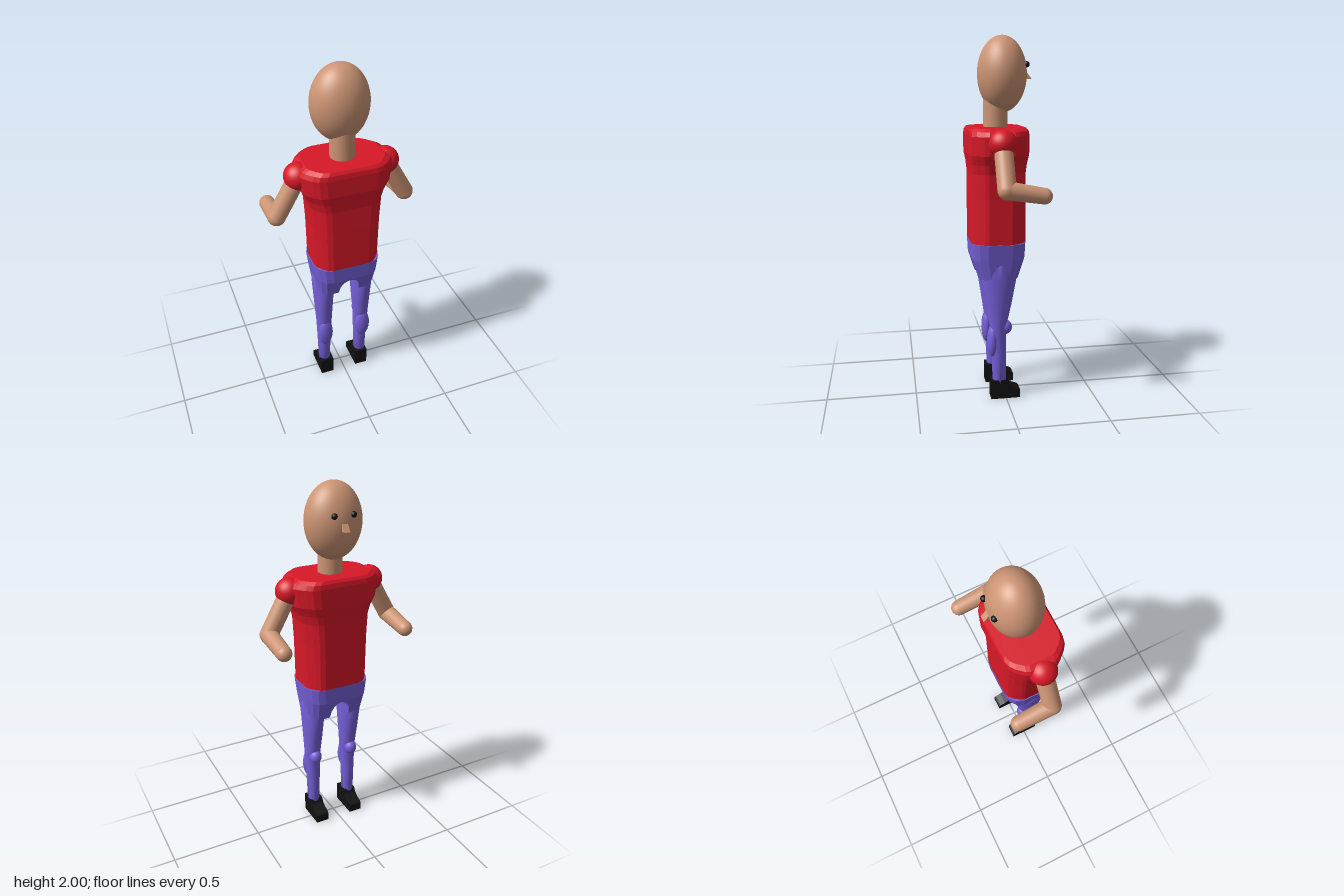
import * as THREE from 'three';

const mat = (color, flat = false) => {
  const m = new THREE.MeshStandardMaterial({ color });
  m.flatShading = flat;
  return m;
};
const skin = mat(0xcd9575), red = mat(0xd81828), redFlat = mat(0xd81828, true);
const purple = mat(0x7560d8), purpleFlat = mat(0x7560d8, true), black = mat(0x111111), blackFlat = mat(0x111111, true);
const V = (x, y, z) => new THREE.Vector3(x, y, z);

// Closed skin over a list of equal-length rings, with fan caps
function loft(rings) {
  const n = rings[0].length, pos = [], idx = [];
  rings.forEach(r => r.forEach(p => pos.push(...p)));
  for (let i = 0; i < rings.length - 1; i++)
    for (let j = 0; j < n; j++) {
      const a = i * n + j, b = i * n + (j + 1) % n, c = b + n, d = a + n;
      idx.push(a, b, c, a, c, d);
    }
  const top = (rings.length - 1) * n;
  for (let j = 1; j < n - 1; j++) idx.push(0, j + 1, j, top, top + j, top + j + 1);
  const g = new THREE.BufferGeometry();
  g.setAttribute('position', new THREE.Float32BufferAttribute(pos, 3));
  g.setIndex(idx);
  g.computeVertexNormals();
  return g;
}

function add(parent, name, geo, material, p = V(0, 0, 0)) {
  const m = new THREE.Mesh(geo, material);
  m.name = name;
  m.position.copy(p);
  parent.add(m);
  return m;
}

function ellipsoid(parent, name, material, p, rx, ry, rz, seg = 32) {
  return add(parent, name, new THREE.SphereGeometry(1, seg, seg * 0.75).scale(rx, ry, rz), material, p);
}

// Tapered round limb from a to b
function limb(parent, name, material, a, b, ra, rb) {
  const dir = b.clone().sub(a);
  const m = add(parent, name, new THREE.CylinderGeometry(rb, ra, dir.length(), 28), material, a.clone().add(b).multiplyScalar(0.5));
  m.quaternion.setFromUnitVectors(V(0, 1, 0), dir.normalize());
}

// Side profile in (z, y), extruded across x
function sideExtrude(points, width) {
  const s = new THREE.Shape(points.map(([z, y]) => new THREE.Vector2(-z, y)));
  const g = new THREE.ExtrudeGeometry(s, { depth: width, bevelEnabled: false });
  return g.translate(0, 0, -width / 2).rotateY(Math.PI / 2);
}

// Shirt body: rounded oblong cross-section, stacked upward
function torsoGeometry() {
  const q = [[1, 0.42], [0.96, 0.56], [0.82, 0.8], [0.7, 0.94], [0.55, 1]];
  const r = [...q].reverse();
  const outline = [...q.map(([x, z]) => [x, -z]), ...r.map(([x, z]) => [-x, -z]),
    ...q.map(([x, z]) => [-x, z]), ...r.map(([x, z]) => [x, z])];
  const rows = [[0.9, 0.185, 0.149], [1.15, 0.19, 0.148], [1.28, 0.198, 0.147], [1.33, 0.212, 0.152],
    [1.38, 0.238, 0.161], [1.48, 0.25, 0.161], [1.505, 0.238, 0.157], [1.52, 0.21, 0.146]];
  return loft(rows.map(([y, hx, hz]) => outline.map(([x, z]) => [x * hx, y, 0.036 + z * hz])));
}

// Shorts: slices across x, with an arch between the legs
function shortsGeometry() {
  const xs = [0.19, 0.172, 0.145, 0.105, 0.068, 0.062, 0.055, 0.045, 0.03, 0.015];
  const stations = [...xs.map(x => -x), 0, ...[...xs].reverse()];
  return loft(stations.map(x => {
    const ax = Math.abs(x);
    const low = ax < 0.068 ? 0.7 + 0.1 * Math.sqrt(1 - (ax / 0.068) ** 2) : 0.7;
    const plan = ax > 0.18 ? 0.45 : ax > 0.16 ? 0.75 : ax > 0.13 ? 0.93 : 1;
    const point = (y, side) => {
      const hz = y > 0.81 ? 0.149 : 0.11 + (y - 0.7) * 0.32;
      return [x * (1 - (0.9 - y) * 0.65), y, 0.036 + side * hz * plan];
    };
    return [point(0.9, 1), point(0.81, 1), point(low, 1), point(low, -1), point(0.81, -1), point(0.9, -1)];
  }));
}

// Leg: oval rings, deep at the thigh and slim at the ankle
function legGeometry() {
  const rows = [[0.09, 0.034, 0.038, 0.035], [0.25, 0.039, 0.041, 0.037], [0.42, 0.046, 0.046, 0.042],
    [0.55, 0.053, 0.07, 0.037], [0.7, 0.06, 0.096, 0.034], [0.84, 0.06, 0.105, 0.034]];
  return loft(rows.map(([y, rx, rz, zc]) => Array.from({ length: 28 }, (_, j) => {
    const t = j / 28 * Math.PI * 2;
    return [rx * Math.cos(t), y, zc - rz * Math.sin(t)];
  })));
}

export function createModel() {
  const g = new THREE.Group();
  g.name = 'figure';

  // Head and face, looking toward -z
  ellipsoid(g, 'head', skin, V(0, 1.798, 0), 0.155, 0.202, 0.133, 40);
  limb(g, 'neck', skin, V(0, 1.48, 0.036), V(0, 1.72, 0.036), 0.066, 0.066);
  add(g, 'nose', sideExtrude([[-0.11, 1.835], [-0.11, 1.77], [-0.16, 1.77]], 0.032), skin, V(0.003, 0, 0));

  // Clothing
  add(g, 'shirt', torsoGeometry(), redFlat);
  add(g, 'shorts', shortsGeometry(), purpleFlat);

  const leg = legGeometry();
  const shoe = sideExtrude([[0.085, 0], [0.085, 0.11], [0.005, 0.11], [-0.01, 0.085], [-0.035, 0.066],
    [-0.07, 0.054], [-0.08, 0.045], [-0.08, 0]], 0.076);

  for (const s of [1, -1]) {
    const side = s > 0 ? 'left' : 'right';
    const name = part => `${side} ${part}`;
    ellipsoid(g, name('eye'), black, V(s * 0.054 + 0.003, 1.847, -0.123), 0.016, 0.016, 0.016, 16);

    // Arm bent forward at the elbow
    const shoulder = V(s * 0.238, 1.447, 0.035), elbow = V(s * 0.363, 1.225, 0.035), hand = V(s * 0.363, 1.192, -0.157);
    ellipsoid(g, name('sleeve'), red, shoulder, 0.076, 0.074, 0.075);
    limb(g, name('upper arm'), skin, shoulder, elbow, 0.049, 0.049);
    ellipsoid(g, name('elbow'), skin, elbow, 0.049, 0.049, 0.049, 24);
    limb(g, name('forearm'), skin, elbow, hand, 0.048, 0.042);
    ellipsoid(g, name('hand'), skin, hand, 0.042, 0.042, 0.042, 24);

    // Leg with kneecap and calf
    add(g, name('leg'), leg, purple, V(s * 0.116, 0, 0));
    ellipsoid(g, name('knee'), purple, V(s * 0.116, 0.415, 0), 0.036, 0.041, 0.037, 20);
    ellipsoid(g, name('calf'), purple, V(s * 0.118, 0.34, 0.073), 0.045, 0.096, 0.03, 24);
    add(g, name('shoe'), shoe, blackFlat, V(s * 0.112, 0, 0));
  }
  return g;
}
